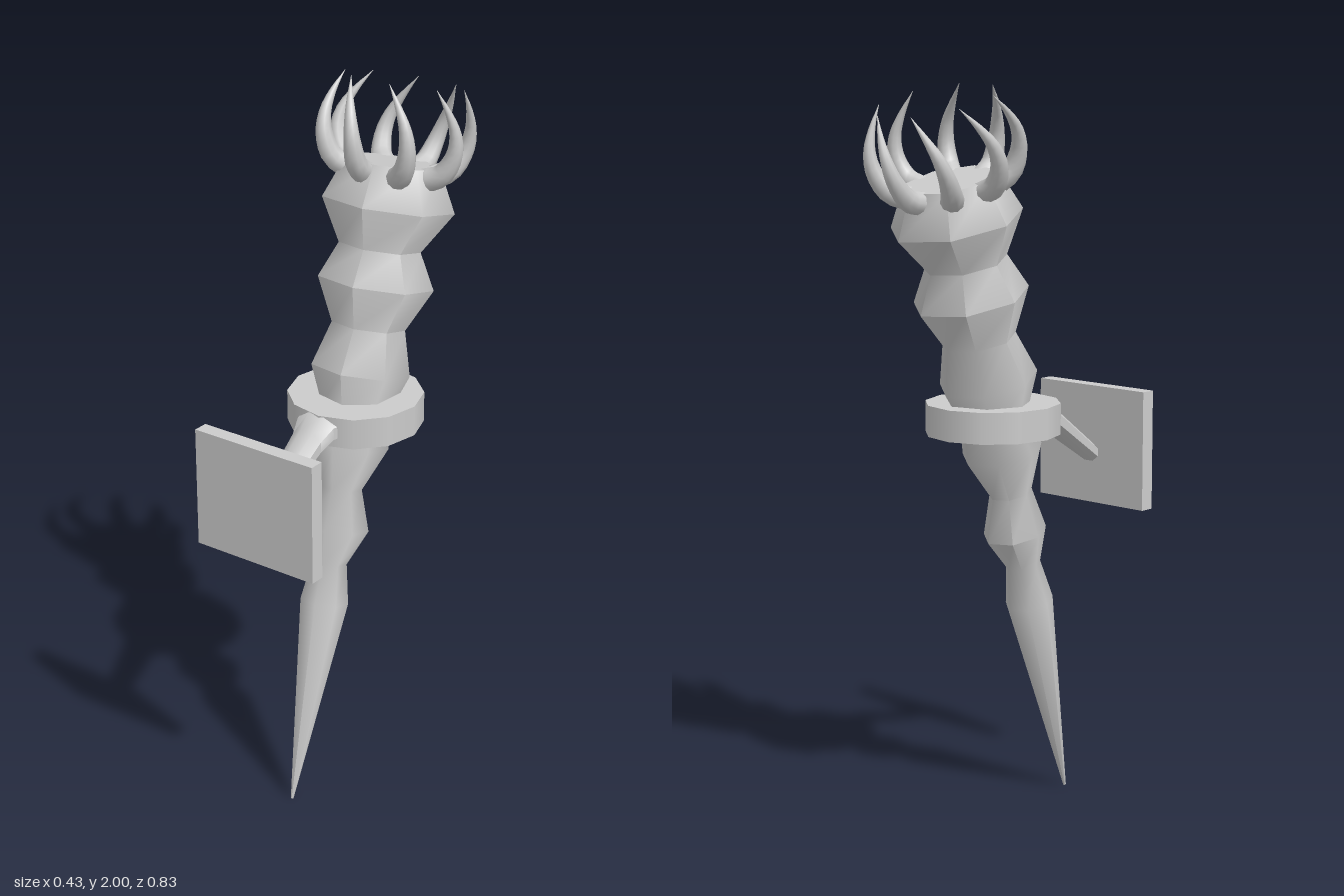
import * as THREE from 'three';
import { toCreasedNormals } from 'three/addons/utils/BufferGeometryUtils.js';

const material = new THREE.MeshStandardMaterial({ color: 0xcccccc, side: THREE.DoubleSide });

function addMesh(parent, name, geometry) {
  const mesh = new THREE.Mesh(geometry, material);
  mesh.name = name;
  parent.add(mesh);
  return mesh;
}

// Closed skin over tilted elliptical rings; each section is [y, z, rx, rz]
function loft(sections, sides, phase, tilt, crease) {
  const pos = [], index = [];
  for (const [y, z, rx, rz = rx] of sections) {
    for (let j = 0; j < sides; j++) {
      const a = phase + (j / sides) * Math.PI * 2;
      const d = rz * Math.sin(a);
      pos.push(rx * Math.cos(a), y + d * Math.sin(tilt), z + d * Math.cos(tilt));
    }
  }
  const rows = sections.length;
  for (let i = 0; i < rows - 1; i++) {
    for (let j = 0; j < sides; j++) {
      const k = (j + 1) % sides;
      const a = i * sides + j, b = i * sides + k;
      index.push(a, a + sides, b, b, a + sides, b + sides);
    }
  }
  // End caps
  const first = sections[0], last = sections[rows - 1];
  const c0 = rows * sides, c1 = c0 + 1, top = (rows - 1) * sides;
  pos.push(0, first[0], first[1], 0, last[0], last[1]);
  for (let j = 0; j < sides; j++) {
    const k = (j + 1) % sides;
    index.push(c0, j, k, c1, top + k, top + j);
  }
  const geometry = new THREE.BufferGeometry();
  geometry.setAttribute('position', new THREE.Float32BufferAttribute(pos, 3));
  geometry.setIndex(index);
  return toCreasedNormals(geometry, crease);
}

// Tube that tapers to a point along a curve
function taperedTube(curve, radius, segments, sides) {
  const geometry = new THREE.TubeGeometry(curve, segments, radius, sides);
  const p = geometry.attributes.position, v = new THREE.Vector3();
  for (let i = 0; i <= segments; i++) {
    const t = i / segments, c = curve.getPointAt(t);
    const scale = Math.max(0.02, 1 - Math.pow(t, 1.3));
    for (let j = 0; j <= sides; j++) {
      const n = i * (sides + 1) + j;
      v.fromBufferAttribute(p, n).sub(c).multiplyScalar(scale).add(c);
      p.setXYZ(n, v.x, v.y, v.z);
    }
  }
  return geometry;
}

export function createModel() {
  const model = new THREE.Group();
  model.name = 'wallTorch';
  const tilt = 0.25;

  // Leaning seven-sided shaft with bulges, from the tip upwards
  const shaft = [
    [0.003, 0.27, 0.004], [0.575, 0.115, 0.068], [0.685, 0.09, 0.049],
    [0.78, 0.055, 0.089], [0.895, 0.038, 0.06], [1.015, 0.002, 0.112],
    [1.11, -0.03, 0.095], [1.215, -0.052, 0.137], [1.33, -0.088, 0.102],
    [1.445, -0.12, 0.16], [1.54, -0.138, 0.113], [1.65, -0.175, 0.182],
    [1.76, -0.195, 0.13],
  ];
  addMesh(model, 'shaft', loft(shaft, 7, Math.PI, tilt, 1.1)).position.x = -0.002;

  // Collar around the shaft
  const collar = new THREE.CylinderGeometry(0.185, 0.185, 0.085, 12);
  addMesh(model, 'collar', collar).position.set(0, 1.1125, -0.03);
  collar.rotateY(0.07);

  // Arm from the wall plate up to the collar
  const arm = [
    [0.96, 0.375, 0.037, 0.028], [1.085, 0.19, 0.05, 0.038],
    [1.1125, 0.15, 0.064, 0.044], [1.1125, 0.1, 0.075, 0.044],
  ];
  addMesh(model, 'bracketArm', loft(arm, 8, Math.PI / 8, Math.PI / 2, 0.9));

  // Wall plate
  addMesh(model, 'wallPlate', new THREE.BoxGeometry(0.38, 0.335, 0.042))
    .position.set(-0.008, 0.9875, 0.389);

  // Crown of curling horns: radius, sideways sweep, height
  const crown = new THREE.Group();
  crown.name = 'hornCrown';
  crown.position.set(-0.002, 1.76, -0.195);
  crown.rotation.x = -tilt;
  const path = [
    [0.11, 0, -0.03], [0.16, -0.005, -0.005], [0.19, -0.003, 0.05],
    [0.194, 0.01, 0.105], [0.178, 0.034, 0.16], [0.15, 0.062, 0.215],
  ];
  const horn = taperedTube(
    new THREE.CatmullRomCurve3(path.map(([r, s, y]) => new THREE.Vector3(r, y, s))),
    0.033, 14, 10);
  for (let i = 0; i < 8; i++) {
    addMesh(crown, 'horn', horn).rotation.y = -(i * Math.PI / 4 + 0.04);
  }
  model.add(crown);
  return model;
}
